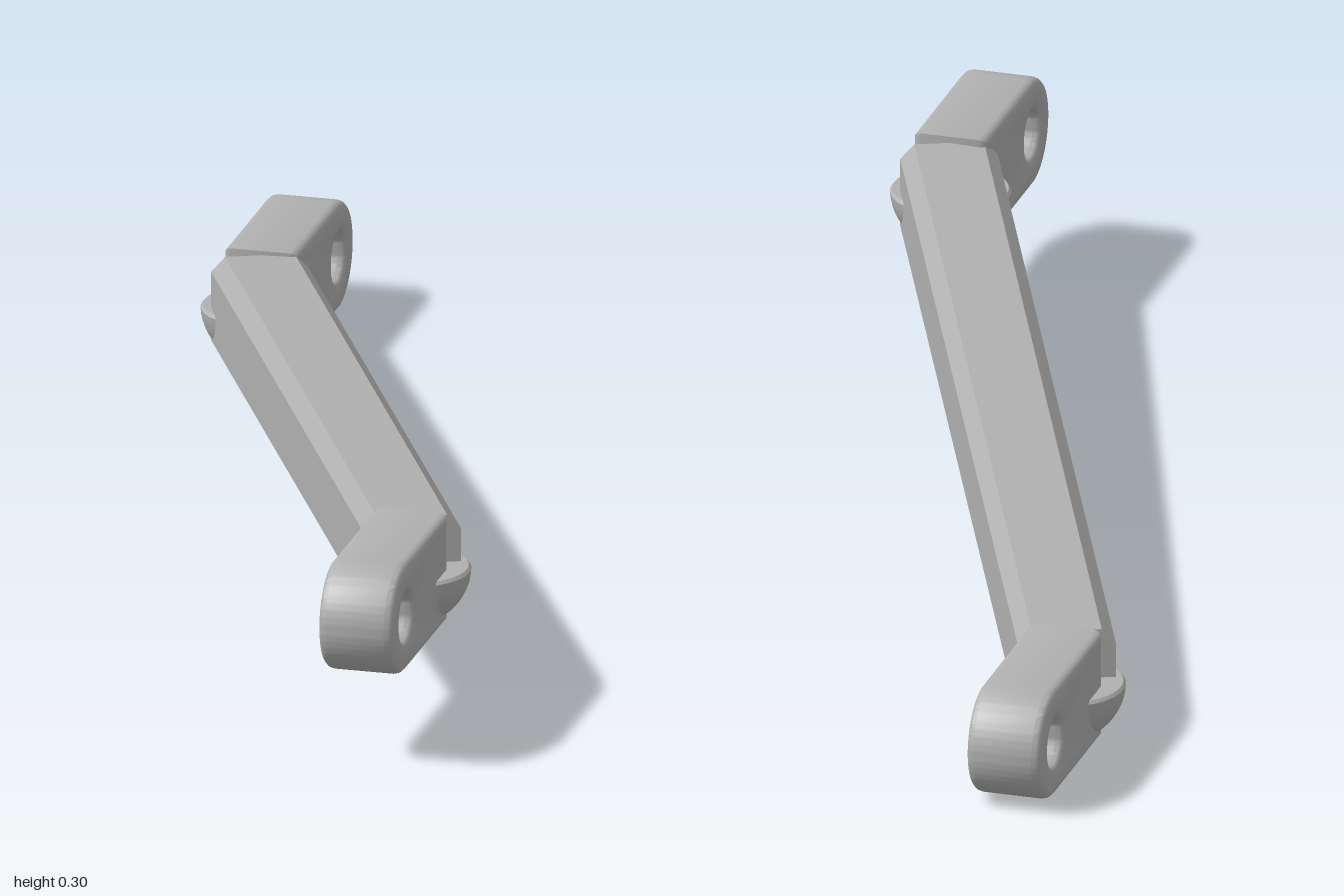
import * as THREE from 'three';
import { toCreasedNormals } from 'three/addons/utils/BufferGeometryUtils.js';

const grey = new THREE.MeshStandardMaterial({ color: 0xb0b0b0 });
grey.name = 'plain grey';

function part(name, geometry) {
  const mesh = new THREE.Mesh(geometry, grey);
  mesh.name = name;
  return mesh;
}

// Round-ended eyelet, profile in (outward, up), extruded across its width
function lugGeometry() {
  const r = 0.081, reach = 0.225, width = 0.11, bevel = 0.012;
  const shape = new THREE.Shape();
  shape.moveTo(-0.005, -r);
  shape.lineTo(reach, -r);
  shape.absarc(reach, 0, r, -Math.PI / 2, Math.PI / 2, false);
  shape.lineTo(-0.005, r);
  shape.closePath();
  const hole = new THREE.Path();
  hole.absarc(reach - 0.003, 0, 0.035, 0, Math.PI * 2, true);
  shape.holes.push(hole);
  const geo = new THREE.ExtrudeGeometry(shape, {
    depth: width - 2 * bevel, bevelEnabled: true, bevelSize: bevel,
    bevelThickness: bevel, bevelOffset: -bevel, bevelSegments: 3, curveSegments: 24,
  });
  geo.translate(0, 0, -(width - 2 * bevel) / 2);
  geo.rotateY(-Math.PI / 2);
  return toCreasedNormals(geo, 0.6);
}

// Half ball with a flat top, hanging under each joint
function cupGeometry() {
  const r = 0.087, points = [];
  for (let i = 0; i <= 14; i++) {
    const a = (i / 14) * 1.52;
    points.push(new THREE.Vector2(r * Math.sin(a), -r * Math.cos(a)));
  }
  points.push(new THREE.Vector2(r - 0.004, 0), new THREE.Vector2(0, 0));
  return toCreasedNormals(new THREE.LatheGeometry(points, 40), 0.6);
}

// Chamfered bar, sheared so that its ends stay upright while it climbs
function barGeometry() {
  const run = 2 * Math.hypot(0.3, 0.69), rise = 0.125;
  const W = 0.07, w = 0.05, H = 0.073, h = 0.0515;
  const section = new THREE.Shape([
    [-w, -H], [w, -H], [W, -h], [W, h], [w, H], [-w, H], [-W, h], [-W, -h],
  ].map(([x, y]) => new THREE.Vector2(x, y)));
  const geo = new THREE.ExtrudeGeometry(section, { depth: run, bevelEnabled: false });
  geo.translate(0, 0, -run / 2);
  const p = geo.attributes.position;
  for (let i = 0; i < p.count; i++) p.setY(i, p.getY(i) + (p.getZ(i) * rise) / run);
  geo.rotateY(Math.atan2(0.3, 0.69));
  geo.computeVertexNormals();
  return geo;
}

export function createModel() {
  const model = new THREE.Group();
  model.name = 'offsetLinkArm';

  const bar = part('bar', barGeometry());
  bar.position.y = 0.152;
  model.add(bar);

  // Joint at each end: eyelet pointing outward and the cup below it
  const lugGeo = lugGeometry(), cupGeo = cupGeometry();
  for (const [name, side, y] of [['front', 1, 0.216], ['back', -1, 0.088]]) {
    const joint = new THREE.Group();
    joint.name = name + 'Joint';
    joint.position.set(0.299 * side, y, 0.695 * side);
    const lug = part(name + 'Eyelet', lugGeo);
    lug.rotation.y = side > 0 ? 0 : Math.PI;
    joint.add(lug, part(name + 'Cup', cupGeo));
    model.add(joint);
  }
  return model;
}
